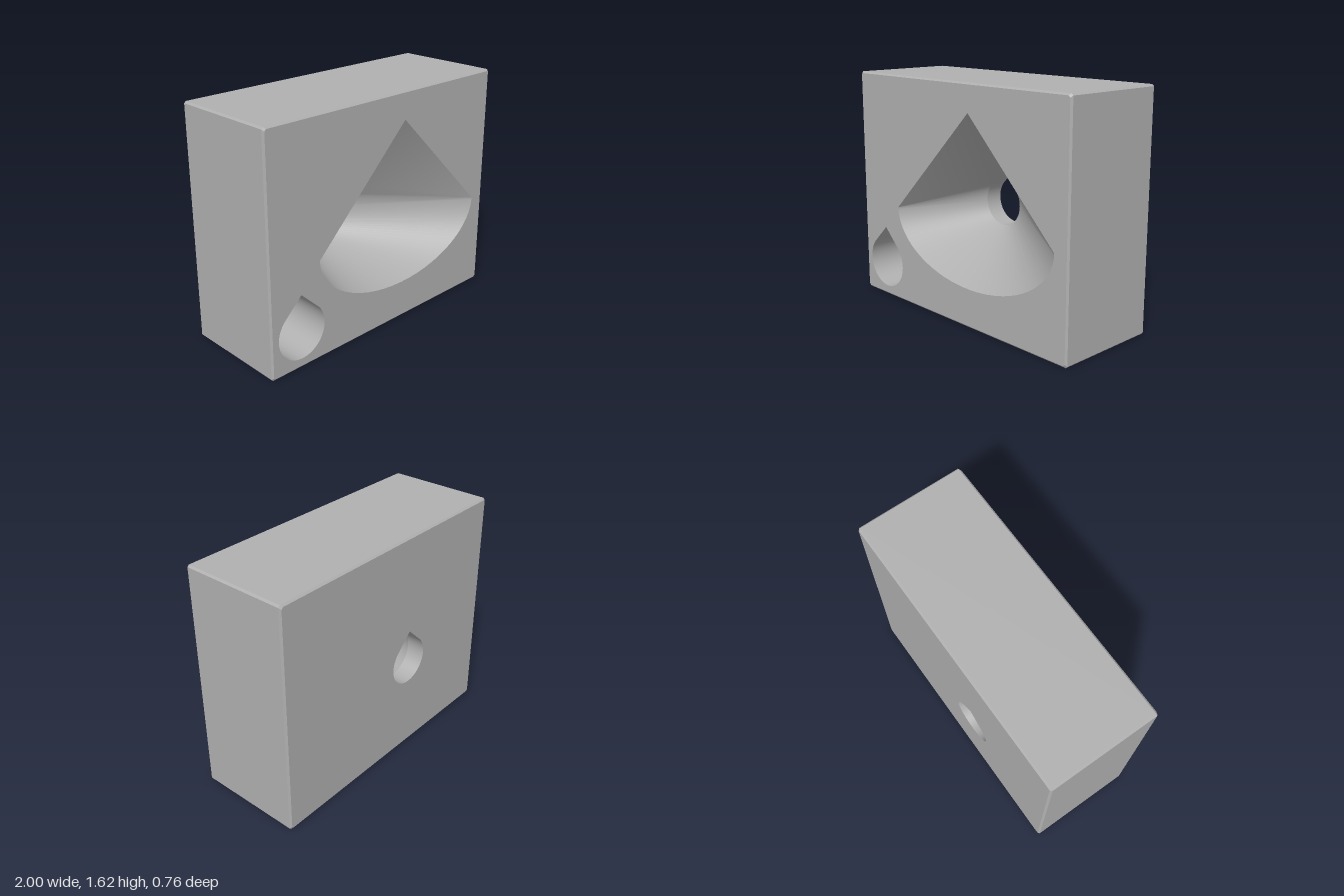
import * as THREE from 'three';
import { toCreasedNormals } from 'three/addons/utils/BufferGeometryUtils.js';

const W = 1, H = 1.62, D = 0.38;   // half width, height, half depth
const BEVEL = 0.012;
const THROAT_Z = -0.25;            // where the funnel meets the straight bore
const STEPS = 72;

// Outline points run anticlockwise from the right 45 degree tangent, and the apex comes first.
// Each point is chosen by its outward normal, so two outlines loft into clean developable walls.
function outline(apex, pointAt) {
  const pts = [new THREE.Vector2(...apex)];
  for (let i = 0; i <= STEPS; i++) {
    const t = (-225 + (270 * i) / STEPS) * Math.PI / 180;
    pts.push(new THREE.Vector2(...pointAt(Math.cos(t), Math.sin(t))));
  }
  return pts;
}

const teardrop = (cx, cy, r, apexY) =>
  outline([cx, apexY], (c, s) => [cx + r * c, cy + r * s]);

// Triangular roof above a half ellipse
function fan(cx, cy, a, b, apexY) {
  return outline([cx, apexY], (c, s) => {
    if (s > 0) return [cx + a * Math.sign(c), cy];
    const k = Math.hypot(a * c, b * s);
    return [cx + a * a * c / k, cy + b * b * s / k];
  });
}

// Block section with clipped corners
function blockOutline(inset) {
  const x = W - inset, y0 = inset, y1 = H - inset, c = BEVEL;
  return [
    [x - c, y0], [x, y0 + c], [x, y1 - c], [x - c, y1],
    [c - x, y1], [-x, y1 - c], [-x, y0 + c], [c - x, y0],
  ].map(p => new THREE.Vector2(...p));
}

// Walls between successive sections {pts, z}: front to back faces outward, back to front inward
function loft(sections, crease = 0.5) {
  const pos = [];
  for (let k = 0; k + 1 < sections.length; k++) {
    const A = sections[k], B = sections[k + 1], n = A.pts.length;
    for (let i = 0; i < n; i++) {
      const j = (i + 1) % n;
      const a = A.pts[i], a2 = A.pts[j], b = B.pts[i], b2 = B.pts[j];
      if (a.distanceTo(a2) > 1e-6) pos.push(a.x, a.y, A.z, b.x, b.y, B.z, a2.x, a2.y, A.z);
      if (b.distanceTo(b2) > 1e-6) pos.push(a2.x, a2.y, A.z, b.x, b.y, B.z, b2.x, b2.y, B.z);
    }
  }
  const g = new THREE.BufferGeometry();
  g.setAttribute('position', new THREE.Float32BufferAttribute(pos, 3));
  return toCreasedNormals(g, crease);
}

// Flat face with openings; facing back when back is true
function face(pts, holes, z, back = false) {
  const place = list => list.map(p => new THREE.Vector2(back ? -p.x : p.x, p.y));
  const shape = new THREE.Shape(place(pts));
  shape.holes = holes.map(h => new THREE.Path(place(h)));
  const g = new THREE.ShapeGeometry(shape);
  if (back) g.rotateY(Math.PI);
  return g.translate(0, 0, z);
}

export function createModel() {
  const group = new THREE.Group();
  const grey = new THREE.MeshStandardMaterial({ color: 0xb0b0b0 });
  grey.name = 'plain grey';
  const add = (name, geometry) => {
    const mesh = new THREE.Mesh(geometry, grey);
    mesh.name = name;
    group.add(mesh);
  };

  const mouth = fan(0.145, 0.69, 0.745, 0.42, 1.43);
  const throat = teardrop(-0.182, 0.692, 0.167, 0.925);
  const pocket = teardrop(-0.755, 0.252, 0.187, 0.512);
  const full = blockOutline(0), small = blockOutline(BEVEL);

  // Block shell with small bevels
  add('blockSides', loft([
    { pts: small, z: D }, { pts: full, z: D - BEVEL },
    { pts: full, z: BEVEL - D }, { pts: small, z: -D },
  ], 0.3));
  add('frontFace', face(small, [mouth, pocket], D));
  add('backFace', face(small, [throat], -D, true));

  // Funnel narrowing to a teardrop bore through the back
  add('funnelWall', loft([{ pts: throat, z: THROAT_Z }, { pts: mouth, z: D }]));
  add('boreWall', loft([{ pts: throat, z: -D }, { pts: throat, z: THROAT_Z }]));

  // Blind teardrop pocket
  add('pocketWall', loft([{ pts: pocket, z: THROAT_Z }, { pts: pocket, z: D }]));
  add('pocketFloor', face(pocket, [], THROAT_Z));

  return group;
}
